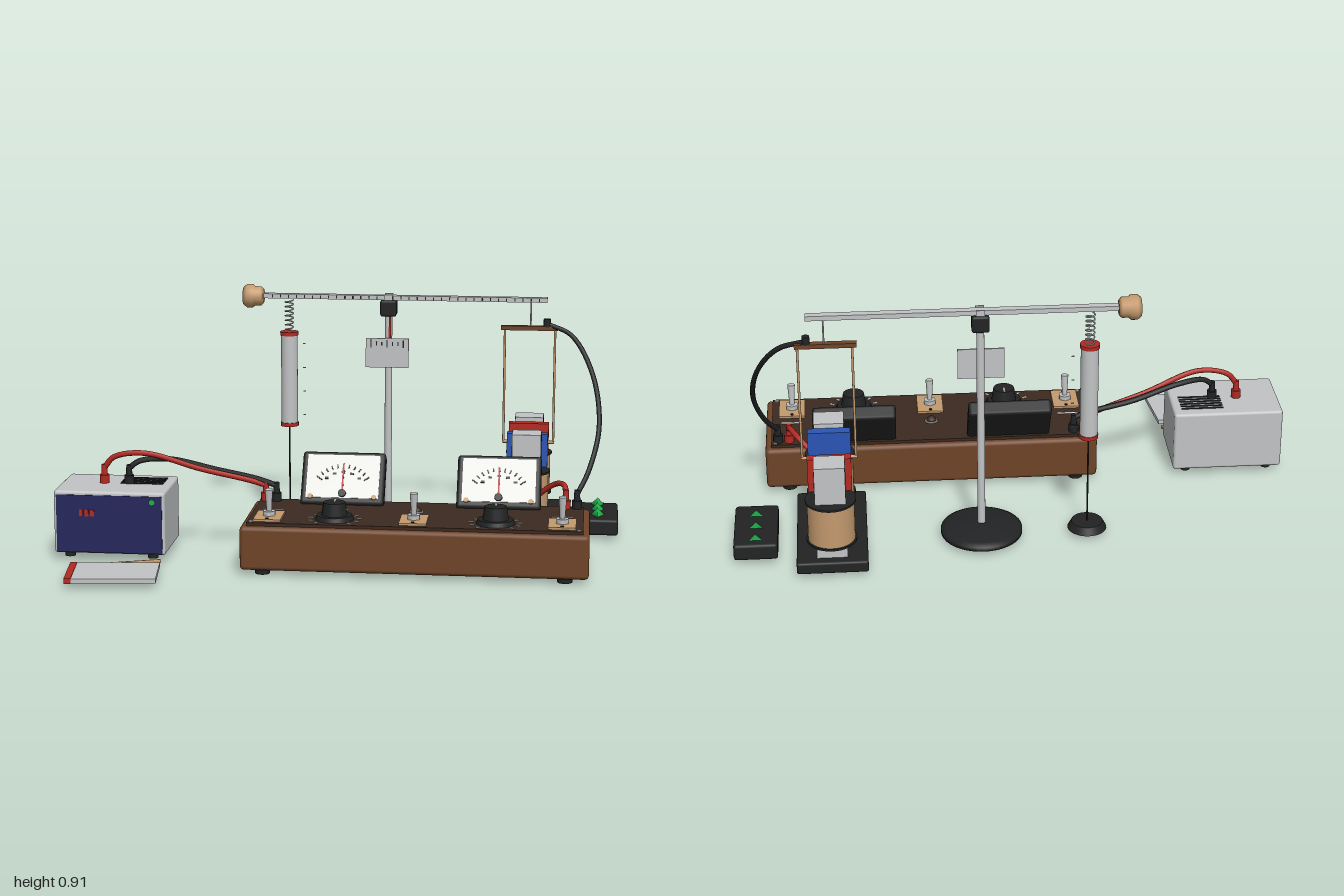
import * as THREE from 'three';
import { RoundedBoxGeometry } from 'three/addons/geometries/RoundedBoxGeometry.js';

const mat = (name, color) => Object.assign(new THREE.MeshStandardMaterial({ color }), { name });
const M = {
  wood: mat('walnut', 0x6f4428), panel: mat('dark panel', 0x3b2a20), black: mat('black', 0x222324),
  grey: mat('light grey metal', 0xc2c4c5), white: mat('white dial', 0xe8e8e4), navy: mat('navy', 0x25265c),
  red: mat('red', 0xb32a22), blue: mat('blue', 0x2b55b5), tan: mat('tan brass', 0xc49a6e), green: mat('green', 0x22b04e),
};

export function createModel() {
  const root = new THREE.Group();
  const add = (name, geo, m, x = 0, y = 0, z = 0, parent = root) => {
    const mesh = new THREE.Mesh(geo, m);
    mesh.name = name;
    mesh.position.set(x, y, z);
    parent.add(mesh);
    return mesh;
  };
  const group = (name, x, y, z) => {
    const g = new THREE.Group();
    g.name = name;
    g.position.set(x, y, z);
    root.add(g);
    return g;
  };
  const box = (w, h, d) => new THREE.BoxGeometry(w, h, d);
  const rbox = (w, h, d, r) => new RoundedBoxGeometry(w, h, d, 2, r);
  const cyl = (r, h, r2 = r, n = 24) => new THREE.CylinderGeometry(r2, r, h, n);
  const wire = (name, pts, r, m) => add(name, new THREE.TubeGeometry(
    new THREE.CatmullRomCurve3(pts.map(p => new THREE.Vector3(...p))), 48, r, 8), m);

  // Control console
  add('console', rbox(1.208, 0.156, 0.4, 0.015), M.wood, 0.288, 0.095, 0.19);
  add('consolePanel', box(1.165, 0.014, 0.36), M.panel, 0.288, 0.177, 0.19);
  for (const x of [-0.24, 0.81]) for (const z of [0.03, 0.35])
    add('consoleFoot', cyl(0.026, 0.025, 0.028), M.black, x, 0.0125, z);
  for (const x of [-0.28, 0.855]) for (const z of [0.025, 0.355])
    add('panelScrew', cyl(0.008, 0.005), M.grey, x, 0.185, z);

  // Tilted meters
  for (const x of [0.007, 0.567]) {
    const g = group('meter', x, 0.257, 0.005);
    g.rotation.x = -0.611;
    add('meterCase', rbox(0.3, 0.204, 0.056, 0.012), M.black, 0, 0, 0, g);
    add('meterDial', box(0.262, 0.166, 0.004), M.white, 0, 0.004, 0.028, g);
    for (let i = 0; i <= 10; i++) {
      const a = (i - 5) * 0.19, r = i % 5 ? 0.109 : 0.105;
      const t = add('dialTick', box(0.0045, i % 5 ? 0.014 : 0.024, 0.002), M.black,
        Math.sin(a) * r, Math.cos(a) * r - 0.065, 0.031, g);
      t.rotation.z = -a;
      if (i % 2) add('dialMark', box(0.013, 0.008, 0.002), M.black,
        Math.sin(a) * 0.085, Math.cos(a) * 0.085 - 0.065, 0.031, g);
    }
    add('needle', box(0.006, 0.115, 0.003), M.red, 0, -0.005, 0.033, g);
    add('needleHub', cyl(0.014, 0.008), M.black, 0, -0.062, 0.033, g).rotation.x = Math.PI / 2;
    for (const s of [-1, 1])
      add('meterScrew', cyl(0.009, 0.006), M.tan, s * 0.115, -0.075, 0.031, g).rotation.x = Math.PI / 2;
  }

  // Rotary knobs with their scales
  for (const x of [0.005, 0.567]) {
    const g = group('knob', x, 0.184, 0.283);
    add('knobSkirt', cyl(0.068, 0.016, 0.062, 32), M.black, 0, 0.008, 0, g);
    add('knobBody', cyl(0.046, 0.046, 0.039, 16), M.black, 0, 0.038, 0, g);
    add('knobPointer', box(0.007, 0.004, 0.035), M.white, 0, 0.062, -0.02, g);
    for (let i = 0; i < 11; i++) {
      const a = (i - 5) * 0.48;
      add('knobTick', box(0.006, 0.003, 0.016), M.white,
        Math.sin(a) * 0.086, 0.001, -Math.cos(a) * 0.086, g).rotation.y = -a;
    }
    add('labelStrip', box(0.065, 0.003, 0.008), M.white, 0, 0.001, -0.13, g);
  }

  // Toggle switches
  for (const x of [-0.225, 0.283, 0.797]) {
    const g = group('toggleSwitch', x, 0.184, 0.283);
    add('switchPlate', box(0.096, 0.008, 0.134), M.tan, 0, 0.004, 0, g);
    add('switchNut', cyl(0.024, 0.016, 0.024, 6), M.grey, 0, 0.016, 0, g);
    add('switchLever', cyl(0.009, 0.08, 0.014, 12), M.grey, 0, 0.062, 0.004, g).rotation.x = 0.08;
    for (const z of [-0.054, 0.054]) add('plateScrew', cyl(0.006, 0.004, 0.006, 10), M.black, 0, 0.009, z, g);
    if (x !== 0.283) add('labelStrip', box(0.075, 0.003, 0.007), M.white, 0, 0.001, -0.108, g);
  }
  // Indicator lamp
  add('lampRing', new THREE.TorusGeometry(0.021, 0.003, 8, 24), M.grey, 0.283, 0.186, 0.155).rotation.x = Math.PI / 2;
  add('lampLens', new THREE.SphereGeometry(0.019, 16, 8, 0, Math.PI * 2, 0, Math.PI / 2), M.panel, 0.283, 0.185, 0.155);

  // Bench power supply
  add('supplyCase', rbox(0.4, 0.227, 0.276, 0.01), M.grey, -0.8, 0.142, 0.13);
  add('supplyFront', box(0.38, 0.208, 0.008), M.navy, -0.8, 0.138, 0.267);
  for (let i = 0; i < 3; i++) add('displayBar', box(0.013, 0.024, 0.003), M.red, -0.9 + i * 0.02, 0.178, 0.272);
  add('supplyLamp', cyl(0.011, 0.008, 0.011, 16), M.green, -0.645, 0.222, 0.272).rotation.x = Math.PI / 2;
  for (let i = 0; i < 6; i++) add('ventSlot', box(0.155, 0.003, 0.009), M.black, -0.708, 0.256, 0.04 + i * 0.018);
  for (const x of [-0.95, -0.65]) for (const z of [0.03, 0.235])
    add('supplyFoot', cyl(0.018, 0.02), M.black, x, 0.022, z);

  // Terminal posts
  const post = (x, y, z, m) => {
    add('terminalNut', cyl(0.018, 0.03, 0.018, 12), m, x, y + 0.015, z);
    add('terminalPlug', cyl(0.012, 0.045, 0.01, 12), m, x, y + 0.045, z);
  };
  post(-0.845, 0.255, 0.123, M.red);
  post(-0.755, 0.255, 0.123, M.black);
  post(-0.272, 0.184, 0.037, M.red);
  post(-0.233, 0.184, 0.037, M.black);
  post(0.805, 0.184, 0.037, M.red);
  post(0.845, 0.184, 0.037, M.black);

  // Leads
  wire('redSupplyLead', [[-0.845, 0.31, 0.123], [-0.81, 0.35, 0.126], [-0.7, 0.367, 0.125], [-0.5, 0.305, 0.085], [-0.33, 0.26, 0.05], [-0.272, 0.24, 0.037]], 0.01, M.red);
  wire('blackSupplyLead', [[-0.755, 0.31, 0.123], [-0.72, 0.335, 0.115], [-0.62, 0.338, 0.08], [-0.45, 0.295, 0.045], [-0.3, 0.262, 0.037], [-0.233, 0.24, 0.037]], 0.01, M.black);
  wire('redMagnetLead', [[0.805, 0.235, 0.037], [0.8, 0.257, 0.0], [0.77, 0.25, -0.06], [0.72, 0.21, -0.1], [0.68, 0.163, -0.125]], 0.01, M.red);
  add('magnetPlug', cyl(0.014, 0.04), M.red, 0.68, 0.163, -0.12);
  wire('blackHangerLead', [[0.845, 0.235, 0.037], [0.885, 0.31, -0.03], [0.918, 0.45, -0.125], [0.89, 0.62, -0.245], [0.81, 0.745, -0.34], [0.725, 0.78, -0.37]], 0.009, M.black);
  add('hangerTerminal', cyl(0.013, 0.03), M.black, 0.72, 0.785, -0.37);

  // Balance stand
  const Z = -0.37;
  add('standBase', new THREE.LatheGeometry([[0, 0.017], [0.143, 0.017], [0.143, 0.032], [0.125, 0.042], [0.03, 0.055], [0, 0.055]]
    .map(p => new THREE.Vector2(...p)), 40), M.black, 0.133, 0, Z);
  add('standPole', cyl(0.0135, 0.77), M.grey, 0.133, 0.435, Z);
  add('pivotBlock', rbox(0.06, 0.06, 0.06, 0.008), M.black, 0.133, 0.832, Z);
  for (const s of [-1, 1]) add('pivotCheek', box(0.03, 0.03, 0.006), M.grey, 0.133, 0.868, Z + s * 0.019);
  add('pointer', box(0.008, 0.13, 0.004), M.red, 0.139, 0.745, Z + 0.017);
  add('scaleCard', box(0.16, 0.11, 0.006), M.grey, 0.13, 0.665, Z + 0.022);
  for (let i = 0; i < 7; i++)
    add('cardTick', box(0.004, i % 3 ? 0.014 : 0.028, 0.002), M.black, 0.07 + i * 0.02, 0.7, Z + 0.026);

  // Beam and counterweight
  add('beam', box(1.06, 0.017, 0.028), M.grey, 0.19, 0.87, Z);
  for (let i = 0; i < 34; i++) add('beamTick', box(0.004, 0.011, 0.002), M.black, -0.3 + i * 0.03, 0.87, Z + 0.0145);
  add('counterweight', new THREE.LatheGeometry([[0, -0.038], [0.033, -0.038], [0.044, -0.024], [0.044, -0.004], [0.036, 0.006], [0.036, 0.028], [0.026, 0.038], [0, 0.038]]
    .map(p => new THREE.Vector2(...p)), 20), M.tan, -0.373, 0.868, Z).rotation.z = -Math.PI / 2;

  // Spring, damper tube and its weight
  const coil = [];
  for (let i = 0; i <= 84; i++) {
    const a = i / 12 * Math.PI * 2;
    coil.push(new THREE.Vector3(-0.24 + Math.cos(a) * 0.015, 0.855 - i / 84 * 0.12, Z + Math.sin(a) * 0.015));
  }
  add('spring', new THREE.TubeGeometry(new THREE.CatmullRomCurve3(coil), 168, 0.0028, 5), M.grey);
  add('damperTube', cyl(0.031, 0.34, 0.031, 32), M.grey, -0.24, 0.557, Z);
  for (const y of [0.729, 0.384]) add('damperCap', cyl(0.034, 0.014, 0.034, 32), M.red, -0.24, y, Z);
  for (let i = 0; i < 4; i++) add('damperTick', box(0.01, 0.003, 0.003), M.grey, -0.183, 0.42 + i * 0.09, Z);
  add('damperRod', cyl(0.003, 0.36, 0.003, 8), M.black, -0.24, 0.21, Z);
  add('damperWeight', cyl(0.069, 0.026, 0.055, 32), M.black, -0.24, 0.03, Z);

  // Conductor hanger
  add('hangerHook', cyl(0.003, 0.1, 0.003, 8), M.grey, 0.66, 0.815, Z);
  add('hangerBar', box(0.21, 0.016, 0.024), M.wood, 0.655, 0.765, Z);
  for (const x of [0.565, 0.75]) add('hangerRod', cyl(0.0045, 0.43, 0.0045, 10), M.tan, x, 0.545, Z);
  add('hangerConductor', cyl(0.006, 0.194, 0.006, 10), M.tan, 0.6575, 0.335, Z).rotation.z = Math.PI / 2;

  // Electromagnet
  const X = 0.657;
  add('magnetBase', rbox(0.245, 0.043, 0.492, 0.008), M.black, X, 0.0385, Z);
  add('magnetYoke', box(0.105, 0.047, 0.424), M.grey, X, 0.083, Z);
  for (const s of [-1, 1]) {
    const z = Z + s * 0.161;
    add('coil', cyl(0.081, 0.146, 0.081, 36), M.tan, X, 0.185, z);
    for (const y of [0.11, 0.262]) add('coilFlange', cyl(0.087, 0.007, 0.087, 36), M.black, X, y, z);
    add('poleCore', box(0.105, 0.14, 0.092), M.grey, X, 0.334, z);
    for (let i = 0; i < 7; i++) for (const d of [-1, 1])
      add('laminationLine', box(0.003, 0.138, 0.005), M.black, X + d * 0.052, 0.334, z + (i - 3) * 0.0125);
    add('poleShoe', box(0.15, 0.123, 0.036), s > 0 ? M.blue : M.red, X, 0.327, Z + s * 0.095);
  }

  // Box of field arrows
  add('arrowBox', rbox(0.152, 0.06, 0.278, 0.01), M.black, 0.921, 0.047, Z);
  for (const z of [-0.289, -0.37, -0.453])
    add('fieldArrow', new THREE.ConeGeometry(0.024, 0.046, 4), M.green, 0.921, 0.078, z).rotation.x = Math.PI / 2;

  // Notebook and pencil
  const book = group('notebook', -0.74, 0.025, 0.497);
  book.rotation.y = 0.12;
  add('pages', box(0.31, 0.016, 0.21), M.grey, 0, 0, 0, book);
  add('spine', box(0.024, 0.019, 0.212), M.red, -0.146, 0, 0, book);
  const pencil = add('pencil', cyl(0.007, 0.185, 0.007, 6), M.tan, -0.692, 0.026, 0.362);
  pencil.rotation.set(0, 0.355, -Math.PI / 2);
  return root;
}
